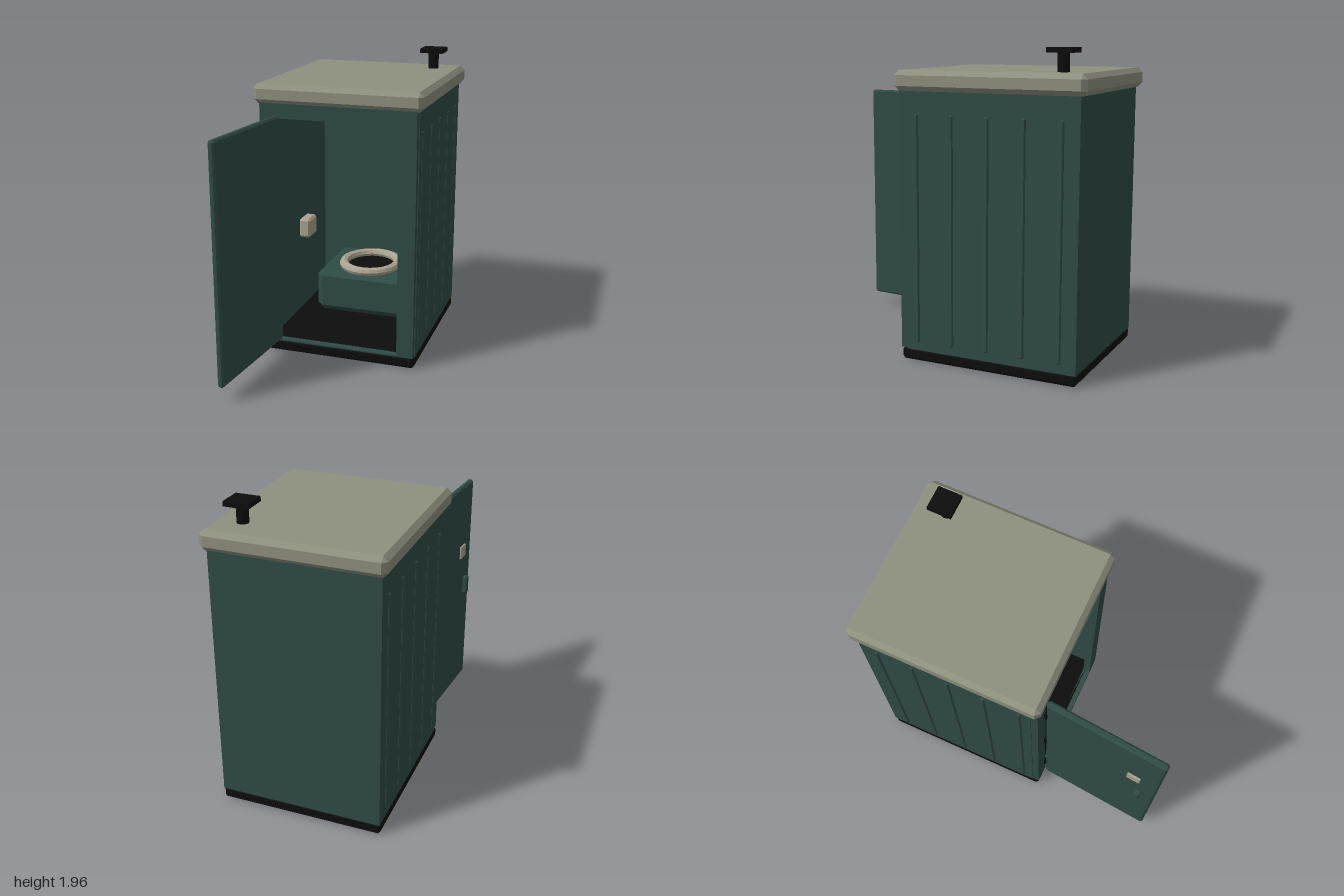
import * as THREE from 'three';
import { ConvexGeometry } from 'three/addons/geometries/ConvexGeometry.js';

const mat = (name, color) => {
  const m = new THREE.MeshStandardMaterial({ color });
  m.name = name;
  m.flatShading = true;
  return m;
};

// Box with every edge chamfered by c
function chamferBox(w, h, d, c) {
  const pts = [];
  for (const x of [-1, 1]) for (const y of [-1, 1]) for (const z of [-1, 1]) {
    const a = x * w / 2, b = y * h / 2, e = z * d / 2;
    pts.push(
      new THREE.Vector3(a, b - y * c, e - z * c),
      new THREE.Vector3(a - x * c, b, e - z * c),
      new THREE.Vector3(a - x * c, b - y * c, e));
  }
  return new ConvexGeometry(pts);
}

export function createModel() {
  const green = mat('dark green plastic', 0x2f4b46);
  const roofGrey = mat('roof grey', 0x8f917f);
  const cream = mat('pale beige', 0xaba28f);
  const black = mat('black', 0x0d0d0d);

  const root = new THREE.Group();
  root.name = 'portableCabin';

  const add = (name, geo, material, x, y, z, parent = root) => {
    const m = new THREE.Mesh(geo, material);
    m.name = name;
    m.position.set(x, y, z);
    parent.add(m);
    return m;
  };
  // Box given by its min and max corners, chamfered when c > 0
  const span = (name, material, [x0, x1], [y0, y1], [z0, z1], c = 0, parent = root) => {
    const s = [x1 - x0, y1 - y0, z1 - z0];
    const geo = c ? chamferBox(...s, c) : new THREE.BoxGeometry(...s);
    return add(name, geo, material, (x0 + x1) / 2, (y0 + y1) / 2, (z0 + z1) / 2, parent);
  };

  // Base, floor and roof
  span('base', black, [-0.52, 0.52], [0, 0.075], [-0.96, 0.2], 0.015);
  span('floor', black, [-0.47, 0.47], [0.06, 0.085], [-0.91, 0.17]);
  span('roof', roofGrey, [-0.555, 0.555], [1.69, 1.815], [-1, 0.23], 0.03);

  // Walls, with raised ribs on both sides
  span('backWall', green, [-0.48, 0.48], [0.07, 1.72], [-0.96, -0.92]);
  for (const s of [-1, 1]) {
    const side = s < 0 ? 'right' : 'left';
    add(side + 'Wall', new THREE.BoxGeometry(0.04, 1.65, 1.12), green, s * 0.5, 0.895, -0.4);
    for (let i = 0; i < 5; i++) {
      add(side + 'Rib', chamferBox(0.03, 1.43, 0.028, 0.008), green, s * 0.515, 0.84, 0.085 - i * 0.234);
    }
  }

  // Front frame with the door opening
  const frame = new THREE.Shape([[-0.515, 0.075], [0.515, 0.075], [0.515, 1.72], [-0.515, 1.72]]
    .map(p => new THREE.Vector2(...p)));
  frame.holes.push(new THREE.Path([[-0.405, 0.085], [-0.405, 1.6], [0.405, 1.6], [0.405, 0.085]]
    .map(p => new THREE.Vector2(...p))));
  add('doorFrame', new THREE.ExtrudeGeometry(frame, { depth: 0.05, bevelEnabled: false }), green, 0, 0, 0.155);

  // Open door on its hinges
  const door = new THREE.Group();
  door.name = 'door';
  door.position.set(-0.402, 0, 0.217);
  door.rotation.y = -0.088;
  root.add(door);
  span('doorPanel', green, [-0.022, 0.022], [0.095, 1.62], [0, 0.786], 0.012, door);
  span('doorHandle', green, [-0.056, -0.02], [0.8, 0.93], [0.66, 0.7], 0.008, door);
  span('latchPlate', cream, [-0.034, -0.02], [1.095, 1.185], [0.575, 0.665], 0.004, door);
  for (const y of [0.315, 0.86, 1.4]) {
    add('hinge', new THREE.CylinderGeometry(0.015, 0.015, 0.08, 8), black, -0.415, y, 0.212);
  }

  // Tank and seat
  span('tank', green, [-0.35, 0.35], [0.085, 0.4], [-0.92, -0.35], 0.047);
  const ring = new THREE.TorusGeometry(0.193, 0.032, 8, 24);
  ring.rotateX(Math.PI / 2);
  ring.scale(1, 0.95, 1.1);
  add('seat', ring, cream, 0, 0.423, -0.56);
  const well = new THREE.CircleGeometry(0.17, 24);
  well.rotateX(-Math.PI / 2);
  well.scale(1, 1, 1.1);
  add('bowlOpening', well, black, 0, 0.404, -0.56);

  // Paper dispenser on the side wall
  span('paperDispenser', cream, [-0.485, -0.4], [0.62, 0.76], [-0.52, -0.37], 0.015);

  // Vent pipe and cap
  add('ventPipe', new THREE.CylinderGeometry(0.036, 0.036, 1.58, 12), black, 0.37, 1.14, -0.797);
  span('ventCap', black, [0.292, 0.448], [1.925, 1.955], [-0.875, -0.72]);

  return root;
}
